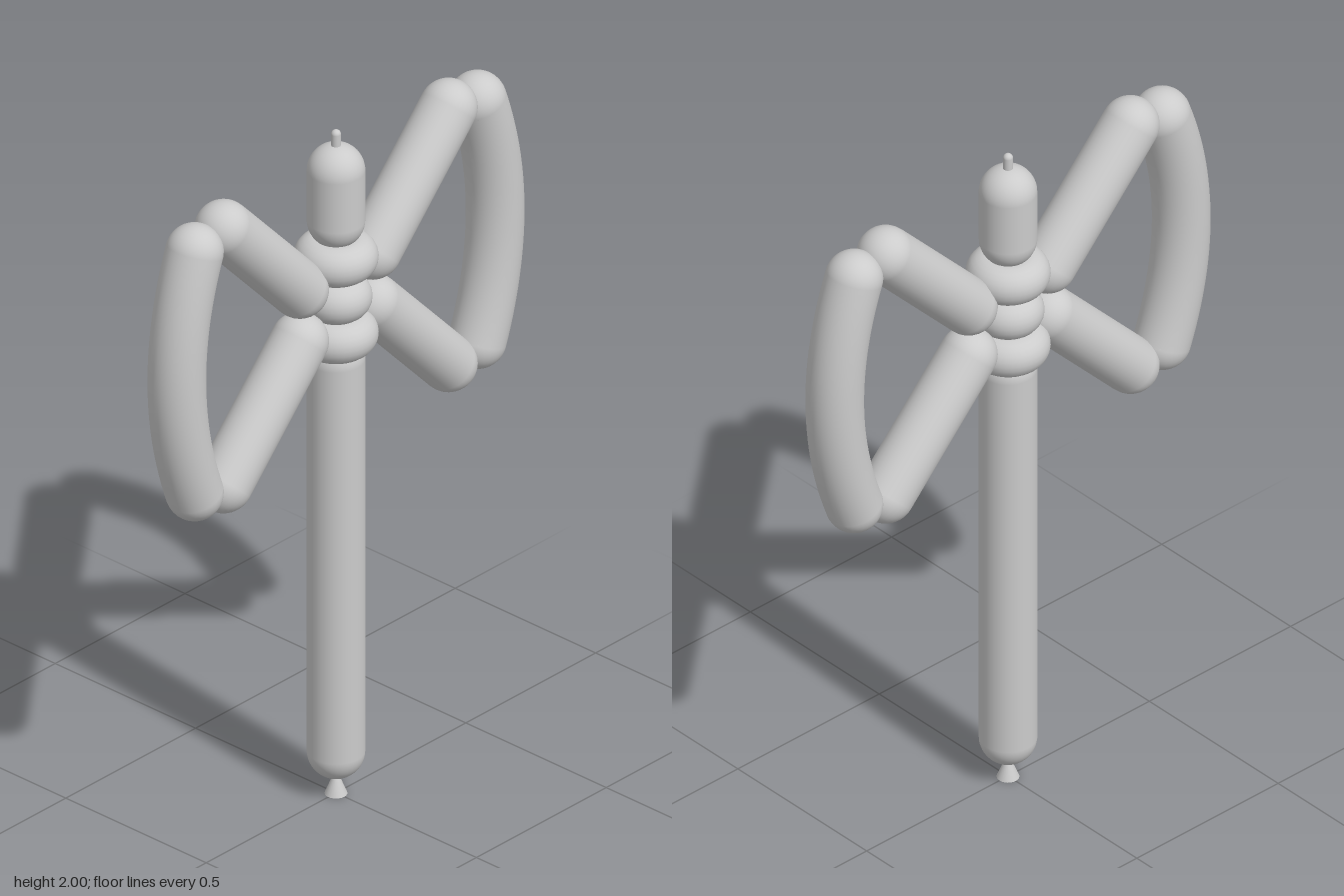
import * as THREE from 'three';

const R = 0.077; // balloon radius
const MID = 1.5; // height of the blade centre
const material = new THREE.MeshStandardMaterial({ color: 0xcccccc });

export function createModel() {
  const group = new THREE.Group();

  function add(name, geometry, x = 0, y = 0, z = 0) {
    const mesh = new THREE.Mesh(geometry, material);
    mesh.name = name;
    mesh.position.set(x, y, z);
    group.add(mesh);
    return mesh;
  }

  // Round-ended balloon segment between two cap centres
  function segment(name, a, b, r = R) {
    const dir = b.clone().sub(a);
    const mesh = add(name, new THREE.CapsuleGeometry(r, dir.length(), 12, 32));
    mesh.position.copy(a).add(b).multiplyScalar(0.5);
    mesh.quaternion.setFromUnitVectors(new THREE.Vector3(0, 1, 0), dir.normalize());
  }
  const v = (x, y) => new THREE.Vector3(x, y, 0);

  // Shaft: long handle, short top segment, nipple and knot
  segment('handle', v(0, 0.13), v(0, 1.31));
  segment('topSegment', v(0, 1.73), v(0, 1.878));
  segment('tipNipple', v(0, 1.94), v(0, 1.987), 0.013);
  add('knot', new THREE.CylinderGeometry(0.006, 0.03, 0.06, 24), 0, 0.03);

  // Twisted rings binding the centre
  for (const [name, y, ring, tube] of [
    ['lowerRing', 1.39, 0.055, 0.057],
    ['middleRing', MID, 0.037, 0.059],
    ['upperRing', 1.62, 0.055, 0.057],
  ]) {
    add(name, new THREE.TorusGeometry(ring, tube, 24, 40).rotateX(Math.PI / 2), 0, y);
  }

  // Two mirrored blades: a pair of diagonal arms and a bowed edge
  for (const [side, s] of [['left', 1], ['right', -1]]) {
    for (const [level, t] of [['Upper', 1], ['Lower', -1]]) {
      segment(`${side}${level}Arm`, v(s * 0.14, MID + t * 0.077), v(s * 0.433, MID + t * 0.386));
    }
    const ends = [v(s * 0.545, MID - 0.363), v(s * 0.545, MID + 0.363)];
    const curve = new THREE.QuadraticBezierCurve3(ends[0], v(s * 0.681, MID), ends[1]);
    add(`${side}BladeEdge`, new THREE.TubeGeometry(curve, 32, R, 32));
    for (const p of ends) {
      add(`${side}BladeEdgeCap`, new THREE.SphereGeometry(R, 32, 20), p.x, p.y, p.z);
    }
  }

  return group;
}
